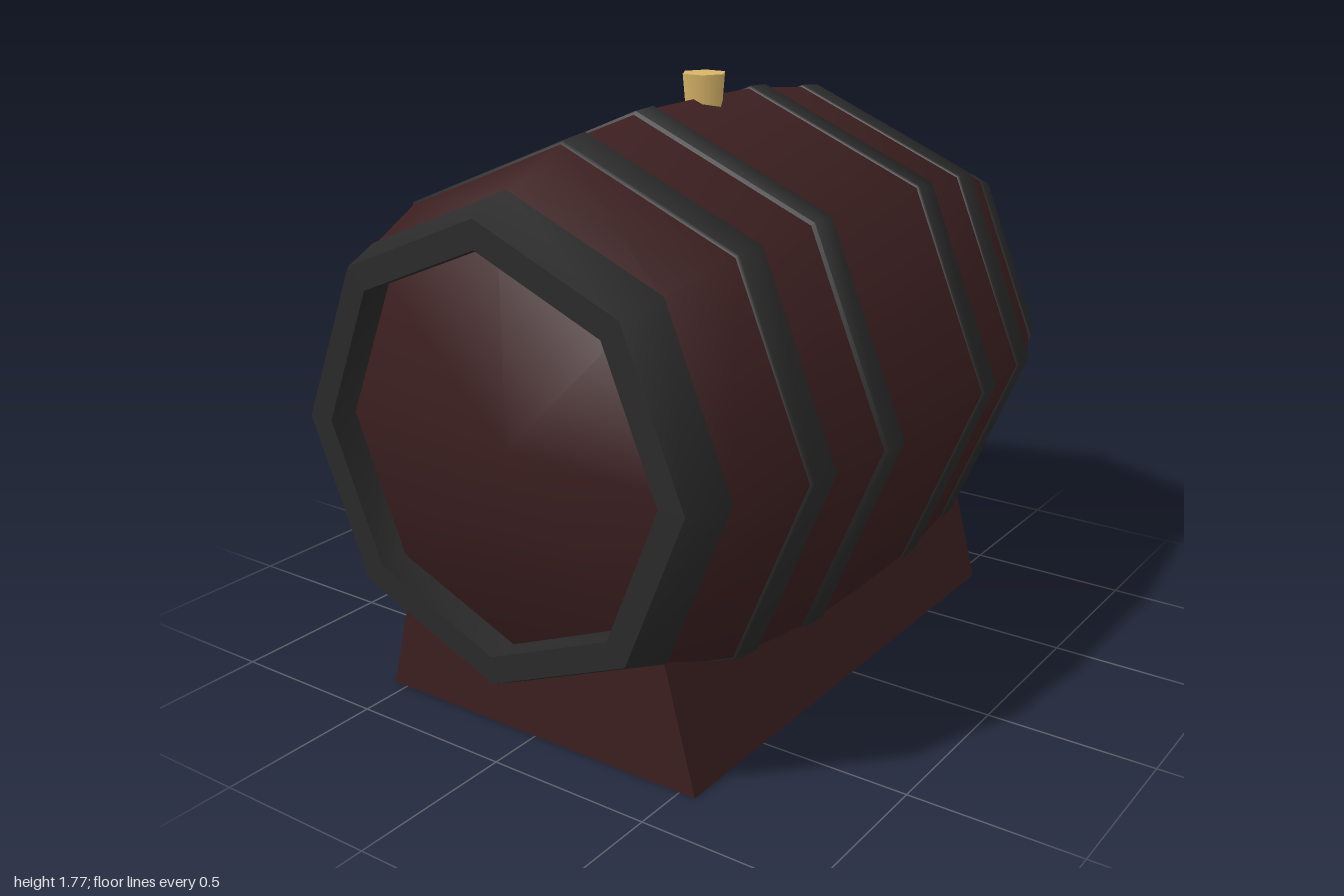
import * as THREE from 'three';
import { toCreasedNormals } from 'three/addons/utils/BufferGeometryUtils.js';

const AXIS_Y = 0.88; // height of the barrel's axis

export function createModel() {
  const material = (name, color) => {
    const m = new THREE.MeshStandardMaterial({ color });
    m.name = name;
    return m;
  };
  const wood = material('dark red wood', 0x3c1f20);
  const iron = material('dark iron', 0x2b2a2a);
  const cork = material('cork', 0xd8b468);

  const model = new THREE.Group();
  model.name = 'barrelOnStand';
  const barrel = new THREE.Group();
  barrel.name = 'barrel';
  barrel.position.y = AXIS_Y;
  model.add(barrel);

  // Eight-sided turned part along z; profile is [radius, z]
  const turned = (name, profile, mat) => {
    const points = profile.map(([r, z]) => new THREE.Vector2(r, z));
    const geometry = new THREE.LatheGeometry(points, 8).rotateX(Math.PI / 2);
    const mesh = new THREE.Mesh(toCreasedNormals(geometry, 1.05), mat);
    mesh.name = name;
    barrel.add(mesh);
    return mesh;
  };

  // Staves and both recessed heads
  const half = [[0.82, 0], [0.816, 0.29], [0.775, 0.65], [0.683, 0.87], [0.655, 0.91], [0, 0.91]];
  const otherHalf = half.slice(1).reverse().map(([r, z]) => [r, -z]);
  turned('staves', [...otherHalf, ...half], wood);

  // Iron hoops with narrow bevels, mirrored front to back
  const hoops = {
    middleHoop: [[0.8, 0.24], [0.818, 0.24], [0.824, 0.248], [0.82, 0.33], [0.812, 0.338], [0.8, 0.338]],
    outerHoop: [[0.76, 0.545], [0.788, 0.545], [0.793, 0.553], [0.783, 0.645], [0.776, 0.653], [0.76, 0.653]],
    rimHoop: [[0.67, 0.87], [0.69, 0.87], [0.64, 1], [0.56, 1], [0.56, 0.9]],
  };
  for (const [name, profile] of Object.entries(hoops)) {
    turned(name + 'Front', profile, iron);
    turned(name + 'Back', profile, iron).rotation.y = Math.PI;
  }

  // Tapered six-sided bung on top
  const bung = new THREE.Mesh(new THREE.CylinderGeometry(0.068, 0.059, 0.1, 6).rotateY(Math.PI / 6), cork);
  bung.name = 'bung';
  bung.position.y = 1.72;
  model.add(bung);

  // Stand: a trapezoid block whose top is buried in the barrel
  const outline = new THREE.Shape([[-0.55, 0], [0.55, 0], [0.44, 0.42], [-0.44, 0.42]]
    .map(([x, y]) => new THREE.Vector2(x, y)));
  const stand = new THREE.Mesh(new THREE.ExtrudeGeometry(outline, { depth: 1.67, bevelEnabled: false }), wood);
  stand.name = 'stand';
  stand.position.z = -0.835;
  model.add(stand);

  return model;
}
